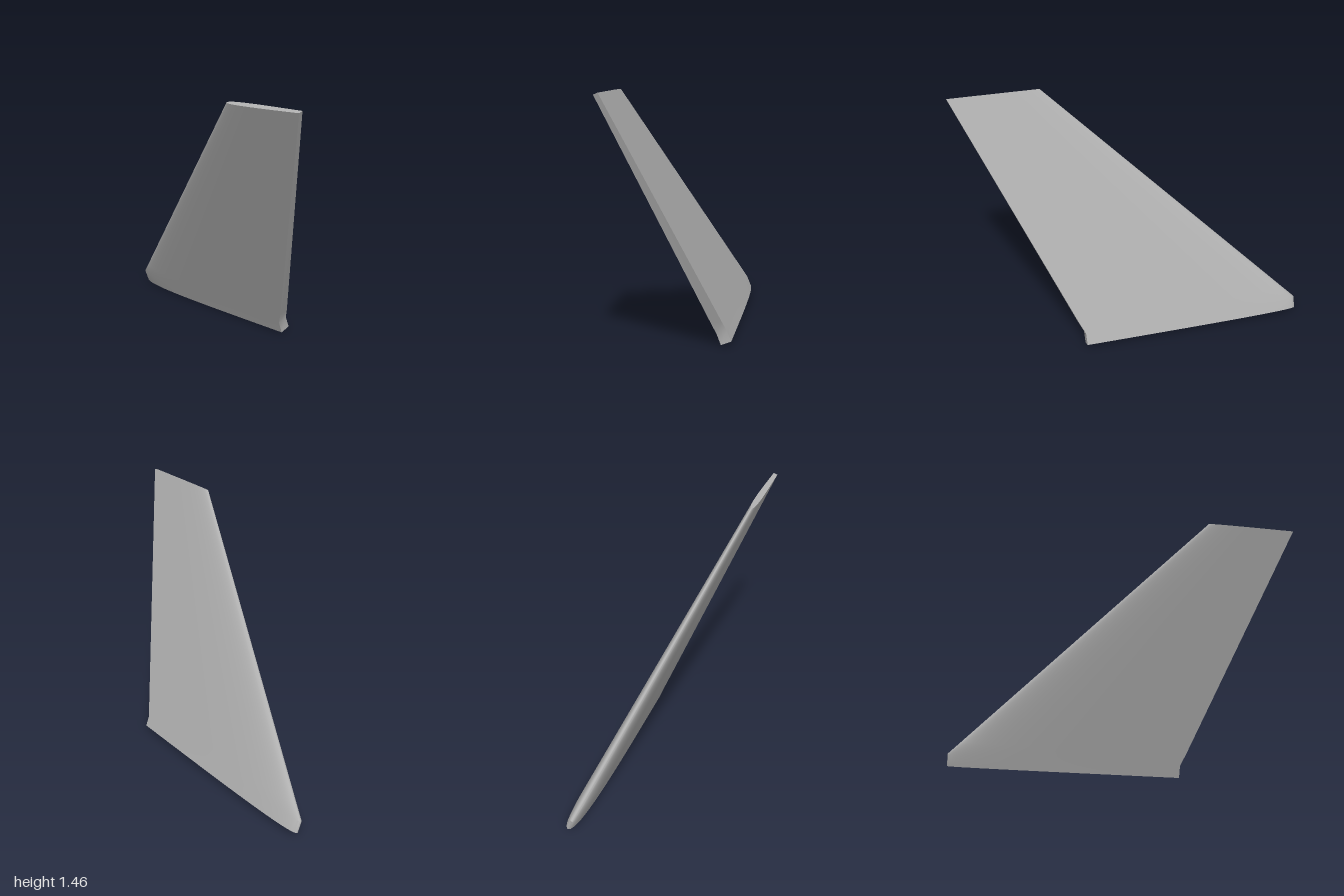
import * as THREE from 'three';
import { toCreasedNormals } from 'three/addons/utils/BufferGeometryUtils.js';

const N = 24; // points along each side of the airfoil
const LEAN = Math.atan2(0.577, 1.437);
const SPAN = 1.547;

// Half thickness along the chord: round nose, blunt trailing edge
const airfoil = t => 3.55 * Math.sqrt(t) - 3.3 * t + 0.432 * t * t;

// Closed loop from the trailing edge over the nose and back
function section({ s, lead, trail }) {
  const half = THREE.MathUtils.lerp(0.047, 0.0185, s / SPAN);
  const loop = [];
  for (let i = 0; i <= 2 * N; i++) {
    const t = ((i - N) / N) ** 2;
    const n = Math.sign(N - i) * half * airfoil(t);
    loop.push([
      lead + (trail - lead) * t,
      0.018 + s * Math.cos(LEAN) + n * Math.sin(LEAN),
      -0.275 + s * Math.sin(LEAN) - n * Math.cos(LEAN),
    ]);
  }
  return loop;
}

function finGeometry() {
  // Short straight root, then a swept taper to the tip
  const loops = [
    { s: 0, lead: -1, trail: 0.365 },
    { s: 0.072, lead: -1, trail: 0.367 },
    { s: 0.142, lead: -0.93, trail: 0.4 },
    { s: SPAN, lead: 0.467, trail: 1 },
  ].map(section);
  const pos = [];
  const tri = (a, b, c) => pos.push(...a, ...b, ...c);
  const count = 2 * N + 1;

  // Skin, including the flat trailing edge
  for (let r = 0; r < loops.length - 1; r++) {
    for (let i = 0; i < count; i++) {
      const j = (i + 1) % count;
      tri(loops[r][i], loops[r][j], loops[r + 1][j]);
      tri(loops[r][i], loops[r + 1][j], loops[r + 1][i]);
    }
  }
  // Root and tip caps
  const root = loops[0], tip = loops[loops.length - 1];
  for (let k = 0; k < N; k++) {
    const a = k, b = k + 1, c = 2 * N - k - 1, d = 2 * N - k;
    tri(tip[a], tip[b], tip[d]);
    tri(root[a], root[d], root[b]);
    if (b !== c) {
      tri(tip[b], tip[c], tip[d]);
      tri(root[b], root[d], root[c]);
    }
  }
  const geo = new THREE.BufferGeometry();
  geo.setAttribute('position', new THREE.Float32BufferAttribute(pos, 3));
  return toCreasedNormals(geo, 0.6);
}

export function createModel() {
  const group = new THREE.Group();
  group.name = 'cantedTailFin';
  const grey = new THREE.MeshStandardMaterial({ color: 0xb0b0b0 });
  grey.name = 'light grey';
  const fin = new THREE.Mesh(finGeometry(), grey);
  fin.name = 'fin';
  group.add(fin);
  return group;
}
